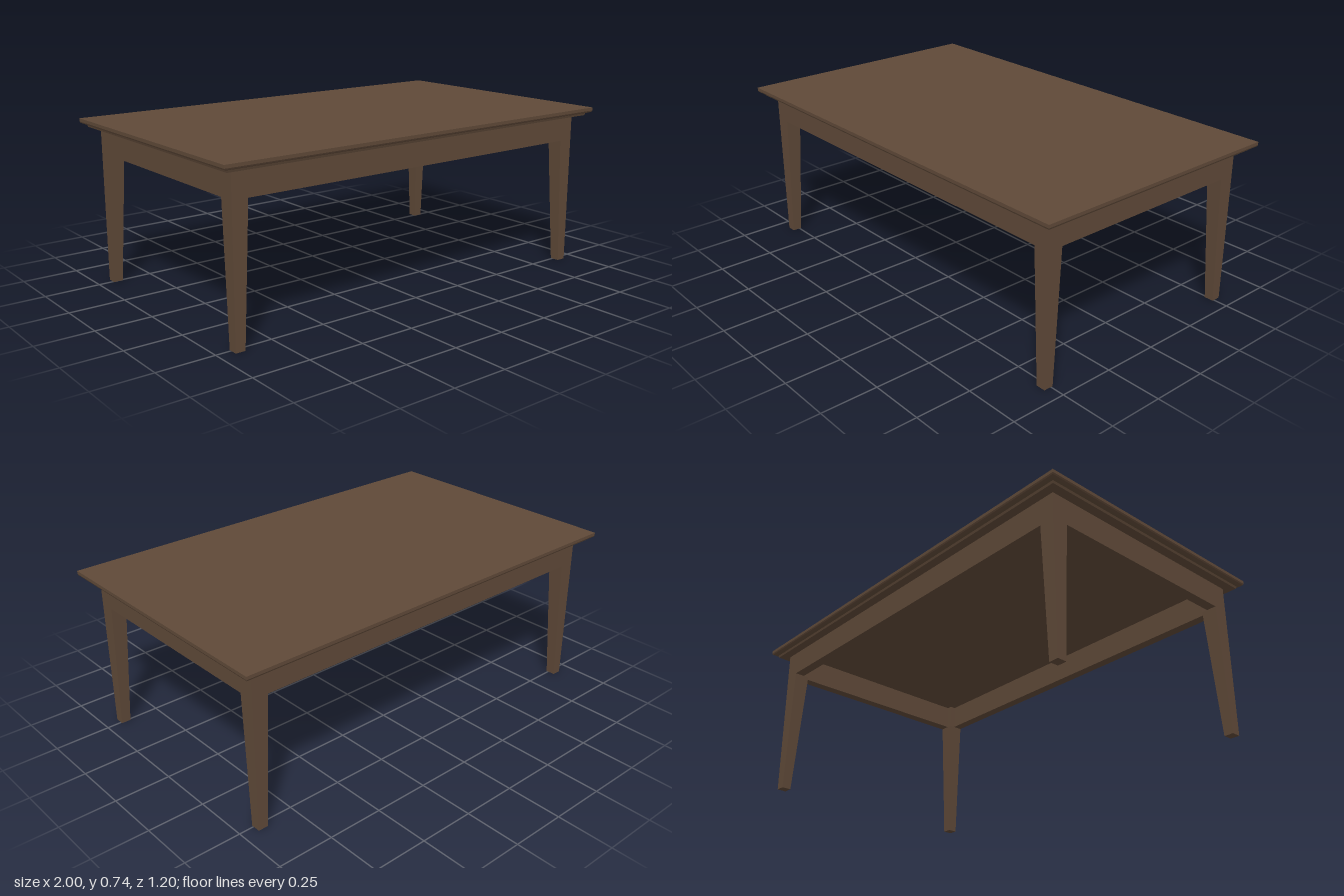
import * as THREE from 'three';

// Closed solid lofted through rectangles [y, x0, x1, z0, z1], listed bottom to top
function loft(sections) {
  const rings = sections.map(([y, x0, x1, z0, z1]) =>
    [[x0, y, z1], [x1, y, z1], [x1, y, z0], [x0, y, z0]]);
  const pos = [];
  const quad = (a, b, c, d) => pos.push(...a, ...b, ...c, ...a, ...c, ...d);
  for (let r = 0; r < rings.length - 1; r++) {
    for (let i = 0; i < 4; i++) {
      const j = (i + 1) % 4;
      quad(rings[r][i], rings[r][j], rings[r + 1][j], rings[r + 1][i]);
    }
  }
  const [b, t] = [rings[0], rings[rings.length - 1]];
  quad(b[3], b[2], b[1], b[0]);
  quad(t[0], t[1], t[2], t[3]);
  const g = new THREE.BufferGeometry();
  g.setAttribute('position', new THREE.Float32BufferAttribute(pos, 3));
  g.computeVertexNormals();
  return g;
}

export function createModel() {
  const table = new THREE.Group();
  table.name = 'table';
  const wood = new THREE.MeshStandardMaterial({ color: 0x5f4938 });
  wood.name = 'dark brown wood';
  const add = (name, geometry) => {
    const mesh = new THREE.Mesh(geometry, wood);
    mesh.name = name;
    table.add(mesh);
    return mesh;
  };

  // Table top with a moulded edge: [height, inset from the rim]
  const edge = [[0.703, 0.026], [0.713, 0.023], [0.716, 0.012], [0.72, 0.003], [0.726, 0], [0.74, 0]];
  add('tableTop', loft(edge.map(([y, d]) => [y, d - 1, 1 - d, d - 0.6, 0.6 - d])));

  const X = 0.933, Z = 0.534; // outer faces of legs and aprons
  const apronY = 0.588, topY = 0.704, thick = 0.045;

  // Legs: straight outside, tapered on the two inner sides below the apron
  for (const sx of [-1, 1]) {
    for (const sz of [-1, 1]) {
      const sections = [[0, 0.043], [apronY, 0.071], [topY, 0.071]].map(([y, w]) => {
        const xs = [sx * X, sx * (X - w)].sort((a, b) => a - b);
        const zs = [sz * Z, sz * (Z - w)].sort((a, b) => a - b);
        return [y, ...xs, ...zs];
      });
      add(`${sz > 0 ? 'front' : 'back'}${sx > 0 ? 'Left' : 'Right'}Leg`, loft(sections));
    }
  }

  // Aprons between the legs, flush with their outer faces
  const h = topY - apronY, y = (topY + apronY) / 2, gap = 0.071;
  for (const s of [-1, 1]) {
    add(s > 0 ? 'frontApron' : 'backApron', new THREE.BoxGeometry(2 * (X - gap), h, thick))
      .position.set(0, y, s * (Z - thick / 2));
    add(s > 0 ? 'leftApron' : 'rightApron', new THREE.BoxGeometry(thick, h, 2 * (Z - gap)))
      .position.set(s * (X - thick / 2), y, 0);
  }
  return table;
}
